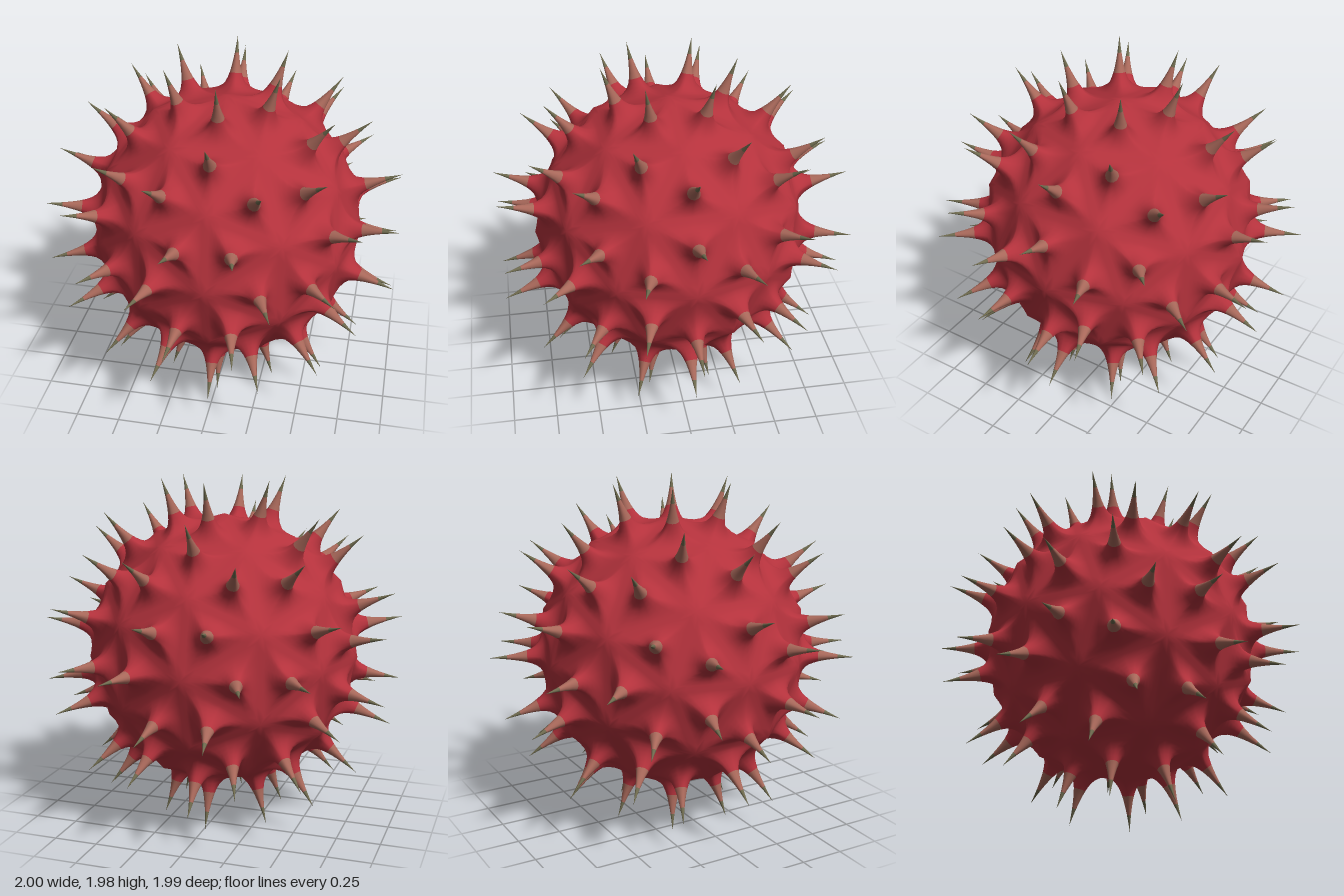
import * as THREE from 'three';
import { mergeVertices } from 'three/addons/utils/BufferGeometryUtils.js';

const BODY_RADIUS = 0.785;
const TIP_RADIUS = 1.055;
const EDGE_STEPS = 6;

// Spike profile: [fraction of the way out to the cell edge, fraction of spike height]
const PROFILE = [
  [1, 0], [0.87, 0.006], [0.74, 0.025], [0.61, 0.06], [0.49, 0.115], [0.39, 0.18],
  [0.31, 0.26], [0.25, 0.34], [0.19, 0.44], [0.13, 0.57], [0.085, 0.69], [0.045, 0.82], [0.018, 0.92],
];
const BASE_RING = 7;  // spike colour starts here
const TIP_RING = 10;  // tip colour starts here

export function createModel() {
  const red = new THREE.MeshStandardMaterial({ name: 'crimson', color: 0xb4323c });
  const brown = new THREE.MeshStandardMaterial({ name: 'rosyBrown', color: 0xa8685a });
  const olive = new THREE.MeshStandardMaterial({ name: 'oliveGrey', color: 0x6e6a4e });

  const positions = [];
  const indices = [[], [], []]; // body, spike bases, spike tips
  const cells = new THREE.IcosahedronGeometry(BODY_RADIUS, 1).getAttribute('position');

  // Each triangular cell of the sphere is drawn up into one flared spike
  for (let f = 0; f < cells.count; f += 3) {
    const corners = [0, 1, 2].map((i) => new THREE.Vector3().fromBufferAttribute(cells, f + i));
    const centre = new THREE.Vector3();
    corners.forEach((c) => centre.addScaledVector(c, 1 / 3));
    const axis = centre.clone().normalize();
    const height = TIP_RADIUS - centre.length();

    const rim = [];
    corners.forEach((c, i) => {
      for (let k = 0; k < EDGE_STEPS; k++) {
        rim.push(c.clone().lerp(corners[(i + 1) % 3], k / EDGE_STEPS).sub(centre));
      }
    });
    const n = rim.length;
    const first = positions.length / 3;

    // Rings change from the triangular rim to a round spike
    PROFILE.forEach(([s, h]) => {
      const blend = THREE.MathUtils.smoothstep(s, 0.2, 1);
      rim.forEach((r) => {
        const radius = THREE.MathUtils.lerp(0.14, r.length(), blend) * s;
        const p = r.clone().setLength(radius).add(centre).addScaledVector(axis, h * height);
        positions.push(p.x, p.y, p.z);
      });
    });
    const apex = positions.length / 3;
    positions.push(...axis.clone().multiplyScalar(TIP_RADIUS).toArray());

    PROFILE.forEach((_, j) => {
      const list = indices[j < BASE_RING ? 0 : j < TIP_RING ? 1 : 2];
      for (let i = 0; i < n; i++) {
        const a = first + j * n + i;
        const b = first + j * n + ((i + 1) % n);
        if (j === PROFILE.length - 1) list.push(a, b, apex);
        else list.push(a, b, b + n, a, b + n, a + n);
      }
    });
  }

  // Weld the cells so shading flows across them, then split by colour
  let whole = new THREE.BufferGeometry();
  whole.setAttribute('position', new THREE.Float32BufferAttribute(positions, 3));
  whole.setIndex(indices.flat());
  whole = mergeVertices(whole, 1e-5);
  whole.computeVertexNormals();

  const group = new THREE.Group();
  group.name = 'spikyBall';
  const welded = Array.from(whole.index.array);
  let start = 0;
  [['body', red], ['spikeBases', brown], ['spikeTips', olive]].forEach(([name, material], i) => {
    const part = new THREE.BufferGeometry();
    part.setAttribute('position', whole.getAttribute('position'));
    part.setAttribute('normal', whole.getAttribute('normal'));
    part.setIndex(welded.slice(start, start + indices[i].length));
    start += indices[i].length;
    const mesh = new THREE.Mesh(part, material);
    mesh.name = name;
    mesh.rotation.y = 0.03;
    mesh.position.y = 0.99;
    group.add(mesh);
  });
  return group;
}
